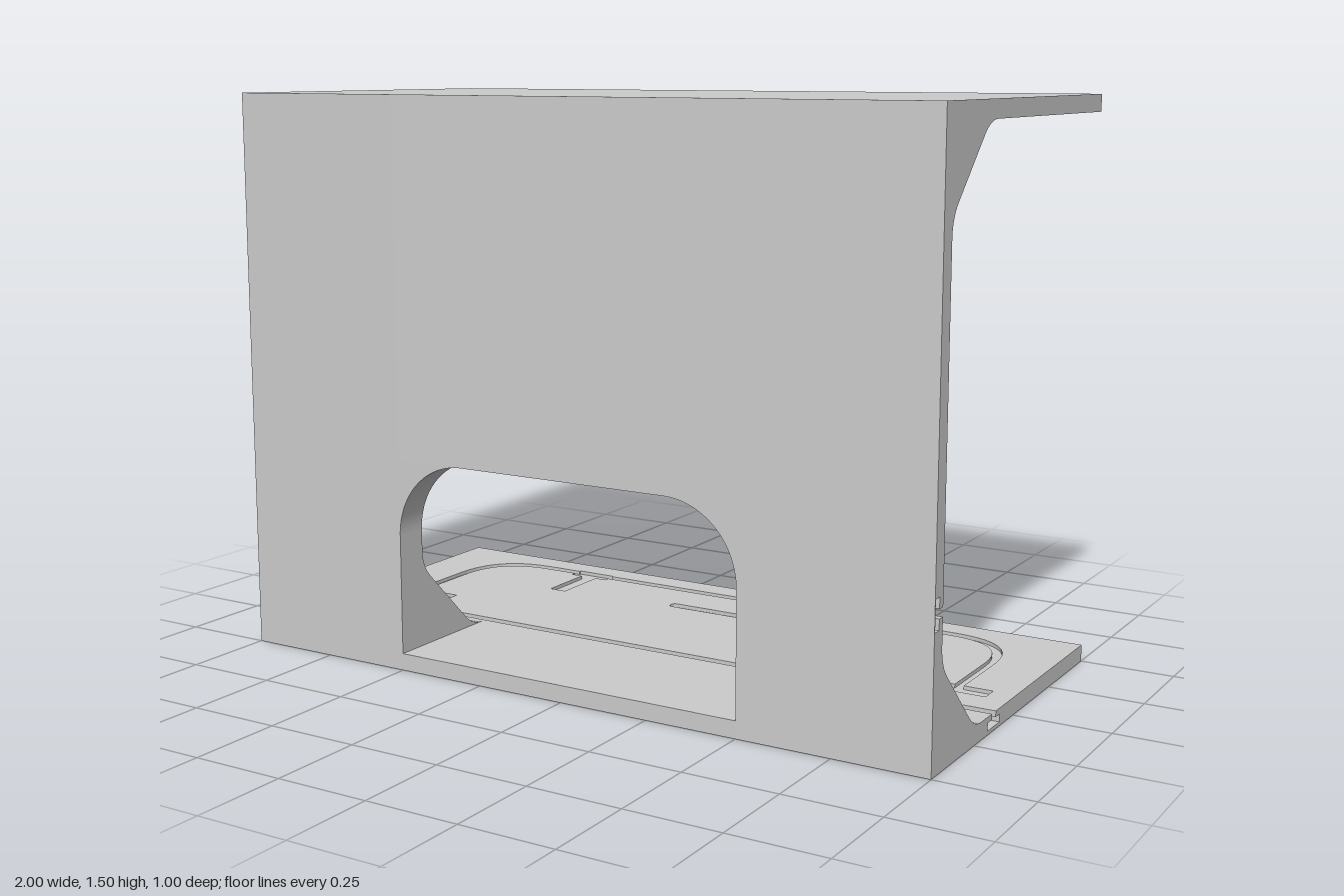
import * as THREE from 'three';
import { toCreasedNormals } from 'three/addons/utils/BufferGeometryUtils.js';

const TOP = 1.5, SLAB = 0.045, GROOVE = 0.01;
const V = (x, y) => new THREE.Vector2(x, y);

// Shape from [x, y, radius?] corners, rounding those that have a radius
function roundedShape(corners) {
  const shape = new THREE.Shape();
  const n = corners.length;
  corners.forEach(([x, y, r = 0], i) => {
    const p = V(x, y);
    const toward = (q) => V(q[0], q[1]).sub(p).setLength(r).add(p);
    const a = r ? toward(corners[(i + n - 1) % n]) : p;
    if (i === 0) shape.moveTo(a.x, a.y);
    else shape.lineTo(a.x, a.y);
    if (r) {
      const b = toward(corners[(i + 1) % n]);
      shape.quadraticCurveTo(x, y, b.x, b.y);
    }
  });
  return shape;
}

// Extrudes a (z, y) section between two x positions
function alongX(corners, x0, x1) {
  const geo = new THREE.ExtrudeGeometry(roundedShape(corners), { depth: x1 - x0, bevelEnabled: false, curveSegments: 6 });
  geo.rotateY(-Math.PI / 2);
  geo.translate(x1, 0, 0);
  return toCreasedNormals(geo, 0.5);
}

// Floor outline from its front part, round the T-shaped slot, to the back edge
const floorTop = [
  [0.14, SLAB], [0.14, 0.03], [0.165, 0.03], [0.165, 0.01], [0.09, 0.01], [0.09, 0.03],
  [0.115, 0.03], [0.115, SLAB - GROOVE], [-0.5, SLAB - GROOVE], [-0.5, 0],
];
const ceiling = [[0.5, TOP], [-0.5, TOP], [-0.5, TOP - SLAB]];

// Sloped inner corners for a wall whose inside is at z = wall; diag is z at the slab
const upperInner = (wall, diag) => [
  [diag, TOP - SLAB, 0.045], [wall, TOP - SLAB - (wall - diag), 0.045],
];
const lowerInner = (wall, diag) => [
  [wall, SLAB + (wall - diag), 0.045], [diag, SLAB, 0.045],
];
const section = (wall, diag, notch = []) => [
  [0.5, 0], ...ceiling, ...upperInner(wall, diag), ...notch, ...lowerInner(wall, diag), ...floorTop,
];

// T-shaped notch in the end of the front wall
const wallNotch = [
  [0.455, 0.388], [0.475, 0.388], [0.475, 0.415], [0.497, 0.415],
  [0.497, 0.338], [0.475, 0.338], [0.475, 0.365], [0.455, 0.365],
];

export function createModel() {
  const group = new THREE.Group();
  const material = new THREE.MeshStandardMaterial({ color: 0xcccccc });
  const add = (name, geo) => {
    const mesh = new THREE.Mesh(geo, material);
    mesh.name = name;
    group.add(mesh);
  };

  // Middle bay: wall above the doorway and floor below it
  const doorHalf = 0.5, doorTop = 0.565, doorR = 0.2, wall = 0.41, diag = 0.195;
  add('wallAboveDoorway', alongX(
    [[0.5, doorTop], ...ceiling, ...upperInner(wall, diag), [wall, doorTop]], -doorHalf, doorHalf));
  add('doorwayFloor', alongX([[0.5, 0], [0.5, SLAB], ...floorTop], -doorHalf, doorHalf));

  // Both ends: thick wall, small lip, recessed rim, rim with notch
  const bays = [
    ['sideWall', section(wall, diag), doorHalf, 0.855],
    ['wallLip', section(0.42, 0.205), 0.855, 0.867],
    ['recessedRim', section(0.455, 0.25), 0.867, 0.92],
    ['notchedRim', section(0.455, 0.25, wallNotch), 0.92, 1],
  ];
  for (const [name, corners, x0, x1] of bays) {
    add(name + 'Left', alongX(corners, x0, x1));
    add(name + 'Right', alongX(corners, -x1, -x0));
  }

  // Rounded upper corners of the doorway
  for (const s of [1, -1]) {
    const shape = new THREE.Shape();
    shape.moveTo(s * doorHalf, doorTop);
    shape.lineTo(s * doorHalf, doorTop - doorR);
    shape.absarc(s * (doorHalf - doorR), doorTop - doorR, doorR, s > 0 ? 0 : Math.PI, Math.PI / 2, s < 0);
    shape.closePath();
    const geo = new THREE.ExtrudeGeometry(shape, { depth: 0.5 - wall, bevelEnabled: false, curveSegments: 14 });
    geo.translate(0, 0, wall);
    add(s > 0 ? 'doorwayCornerLeft' : 'doorwayCornerRight', toCreasedNormals(geo, 0.5));
  }

  // Floor plate with an engraved track, tabs and a short finger slot (x, -z)
  const plate = roundedShape([[-1, -0.115], [1, -0.115], [1, 0.5], [-1, 0.5]]);
  const halfTrack = [
    [0.44, 0.43], [0.56, 0.43], [0.56, 0.425], [0.862, 0.425, 0.2], [0.862, 0.02],
    [0.94, 0.02], [0.94, -0.03], [0.72, -0.03], [0.72, 0.02],
    [0.838, 0.02], [0.838, 0.4, 0.18], [0.56, 0.4], [0.56, 0.385], [0.525, 0.385],
    [0.525, 0.22], [0.475, 0.22], [0.475, 0.385], [0.44, 0.385], [0.44, 0.4],
  ];
  const mirrored = halfTrack.map(([x, y, r]) => [-x, y, r]).reverse();
  const track = roundedShape([[0.44, 0.425], ...halfTrack, ...mirrored, [-0.44, 0.425]]);
  const fingerSlot = roundedShape([
    [-0.135, 0.245, 0.014], [0.135, 0.245, 0.014], [0.135, 0.275, 0.014], [-0.135, 0.275, 0.014],
  ]);
  plate.holes.push(track, fingerSlot);
  const plateGeo = new THREE.ExtrudeGeometry(plate, { depth: GROOVE, bevelEnabled: false, curveSegments: 10 });
  plateGeo.rotateX(-Math.PI / 2);
  plateGeo.translate(0, SLAB - GROOVE, 0);
  add('engravedFloorPlate', toCreasedNormals(plateGeo, 0.5));

  return group;
}
